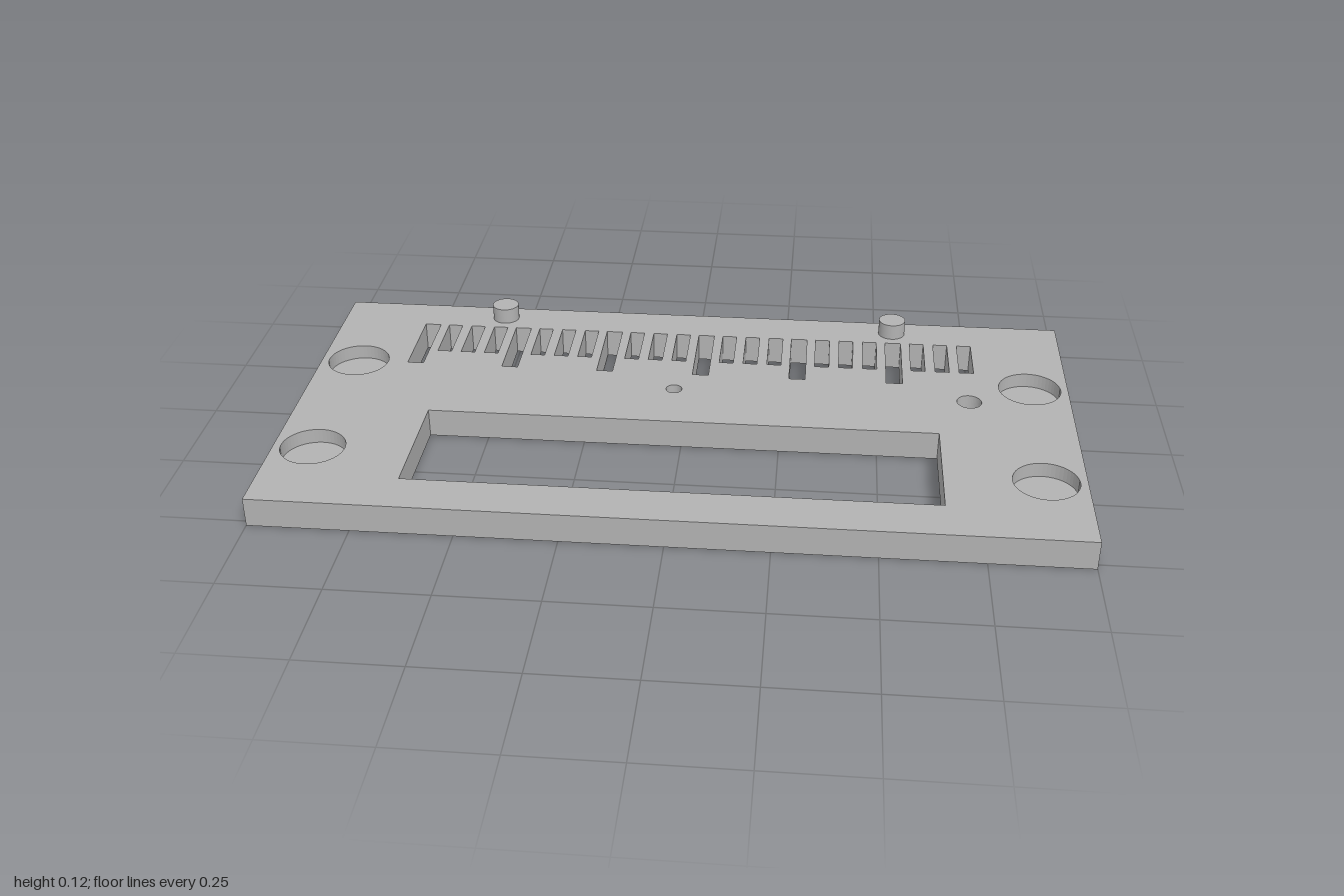
import * as THREE from 'three';

const W = 1, D = 0.518, H = 0.075, FLOOR = 0.037;

// Shape coordinates are (x, -z), so a layer can be extruded and laid flat.
function rectHole(x, z, w, d) {
  const p = new THREE.Path();
  p.moveTo(x - w / 2, -z - d / 2);
  p.lineTo(x - w / 2, -z + d / 2);
  p.lineTo(x + w / 2, -z + d / 2);
  p.lineTo(x + w / 2, -z - d / 2);
  p.closePath();
  return p;
}

function roundHole(x, z, r) {
  return new THREE.Path().absarc(x, -z, r, 0, Math.PI * 2, true);
}

function layer(name, holes, y0, y1, material) {
  const s = new THREE.Shape();
  s.moveTo(-W, -D);
  s.lineTo(W, -D);
  s.lineTo(W, D);
  s.lineTo(-W, D);
  s.closePath();
  s.holes.push(...holes);
  const g = new THREE.ExtrudeGeometry(s, { depth: y1 - y0, bevelEnabled: false, curveSegments: 24 });
  g.rotateX(-Math.PI / 2);
  g.translate(0, y0, 0);
  const mesh = new THREE.Mesh(g, material);
  mesh.name = name;
  return mesh;
}

export function createModel() {
  const group = new THREE.Group();
  group.name = 'slottedPlate';
  const grey = new THREE.MeshStandardMaterial({ color: 0xb2b2b2 });
  grey.name = 'grey';

  // Openings through the full thickness, and shallow pockets underneath
  const through = [
    rectHole(0, 0.234, 1.306, 0.325),
    roundHole(-0.033, -0.095, 0.021),
    roundHole(0.738, -0.095, 0.032),
  ];
  const pockets = [];
  for (let i = 0; i < 24; i++) {
    const x = -0.744 + i * 0.0645;
    const long = i % 4 === 0;
    const end = long ? -0.176 : -0.249;
    through.push(rectHole(x, (end - 0.4) / 2, long ? 0.043 : 0.038, end + 0.4));
    if (long) for (const z of [-0.46, -0.003]) pockets.push(rectHole(x, z, 0.043, 0.043));
  }

  // Round recesses open only at the top
  const recesses = [];
  for (const x of [-0.9, 0.9]) for (const z of [-0.176, 0.271]) recesses.push(roundHole(x, z, 0.081));

  group.add(layer('plateBottom', [...through, ...pockets], 0, FLOOR, grey));
  group.add(layer('plateTop', [...through, ...recesses], FLOOR, H, grey));

  // Locating pegs
  for (const x of [-0.546, 0.543]) {
    const peg = new THREE.Mesh(new THREE.CylinderGeometry(0.036, 0.036, 0.042, 40), grey);
    peg.position.set(x, H + 0.021, -0.46);
    peg.name = 'peg';
    group.add(peg);
  }
  return group;
}
